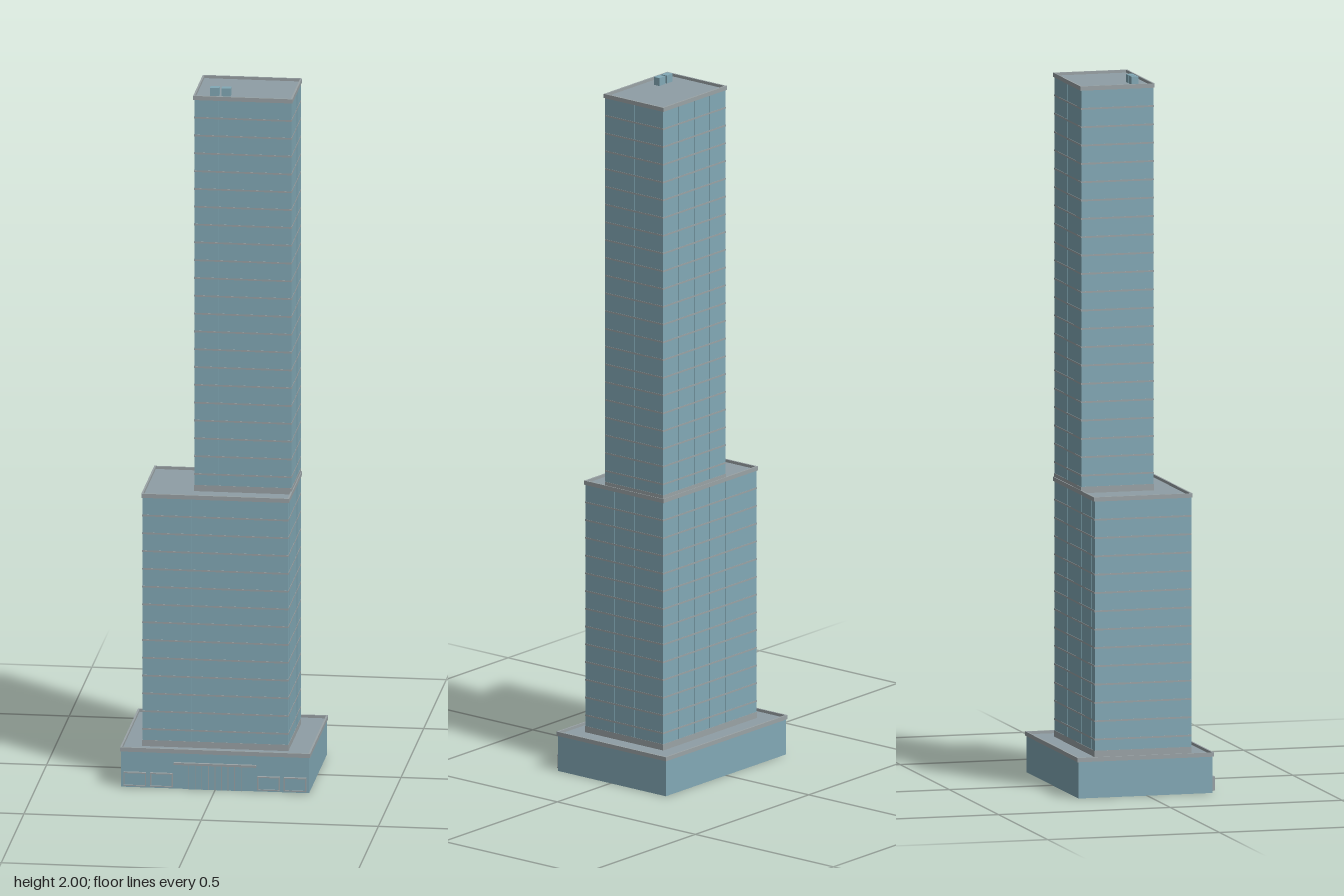
import * as THREE from 'three';

const mat = (color) => {
  const m = new THREE.MeshStandardMaterial();
  m.color.set(color);
  return m;
};

export function createModel() {
  const model = new THREE.Group();
  const glass = mat(0x82a9b6), stone = mat(0x9aa3a6), roofMat = mat(0x8f9ea5);

  // Box given by its limits on each axis
  function box(name, x0, x1, y0, y1, z0, z1, material, parent = model) {
    const mesh = new THREE.Mesh(new THREE.BoxGeometry(x1 - x0, y1 - y0, z1 - z0), material);
    mesh.position.set((x0 + x1) / 2, (y0 + y1) / 2, (z0 + z1) / 2);
    mesh.name = name;
    parent.add(mesh);
    return mesh;
  }

  // Rectangular parapet ring, open in the middle
  function parapet(x0, x1, z0, z1, y0, y1, width, parent) {
    const rect = (T, i) => new T([
      new THREE.Vector2(x0 + i, -z1 + i), new THREE.Vector2(x1 - i, -z1 + i),
      new THREE.Vector2(x1 - i, -z0 - i), new THREE.Vector2(x0 + i, -z0 - i)]);
    const shape = rect(THREE.Shape, 0);
    shape.holes.push(rect(THREE.Path, width));
    const geo = new THREE.ExtrudeGeometry(shape, { depth: y1 - y0, bevelEnabled: false });
    geo.rotateX(-Math.PI / 2).translate(0, y0, 0);
    const mesh = new THREE.Mesh(geo, stone);
    mesh.name = 'parapet';
    parent.add(mesh);
  }

  // Block of the building: walls, recessed roof and parapet
  function block(name, x0, x1, z0, z1, y0, y1) {
    const g = new THREE.Group();
    g.name = name;
    model.add(g);
    const top = y1 - 0.009, o = 0.003;
    box('walls', x0, x1, y0, top, z0, z1, glass, g);
    box('roof', x0 + 0.001, x1 - 0.001, top, top + 0.001, z0 + 0.001, z1 - 0.001, roofMat, g);
    parapet(x0 - o, x1 + o, z0 - o, z1 + o, y1 - 0.012, y1, 0.005, g);
    return g;
  }

  // Floor lines and mullions on a tower block
  function facade(g, x0, x1, z0, z1, y0, y1, floors) {
    const o = 0.0008, step = (y1 - 0.012 - y0) / floors;
    box('plinth', x0 - o, x1 + o, y0, y0 + 0.02, z0 - o, z1 + o, stone, g);
    for (let i = 1; i < floors; i++) {
      const y = y0 + i * step;
      box('floorBand', x0 - o, x1 + o, y - 0.0025, y + 0.0025, z0 - o, z1 + o, stone, g);
    }
    const bays = Math.round((x1 - x0) / 0.034), m = 0.0006;
    for (let i = 1; i < bays; i++) {
      const x = x0 + (x1 - x0) * i / bays;
      box('mullion', x - m, x + m, y0, y1 - 0.012, z0 - m, z1 + m, glass, g);
    }
    const sideBays = Math.round((z1 - z0) / 0.034);
    for (let i = 1; i < sideBays; i++) {
      const z = z0 + (z1 - z0) * i / sideBays;
      box('mullion', x0 - m, x1 + m, y0, y1 - 0.012, z - m, z + m, glass, g);
    }
  }

  block('podium', -0.265, 0.265, -0.2, 0.191, 0, 0.115);
  const lower = [-0.211, 0.2, -0.137, 0.144, 0.105, 0.842];
  const upper = [-0.074, 0.2, -0.137, 0.073, 0.832, 1.985];
  facade(block('lowerTower', ...lower), ...lower, 14);
  facade(block('upperTower', ...upper), ...upper, 22);

  // Shop windows on either side of the entrance
  for (const s of [-1, 1]) {
    for (const c of [0.151, 0.226]) {
      const x = s * c;
      box('shopWindow', x - 0.029, x + 0.029, 0.008, 0.042, 0.19, 0.196, glass);
      for (const e of [-1, 1]) {
        box('windowPost', x + e * 0.03 - 0.0015, x + e * 0.03 + 0.0015, 0.005, 0.045, 0.19, 0.199, stone);
      }
      for (const y of [0.005, 0.042]) {
        box('windowRail', x - 0.031, x + 0.031, y, y + 0.003, 0.19, 0.2, stone);
      }
    }
  }

  // Entrance with canopy and glazing bars
  box('canopy', -0.116, 0.116, 0.071, 0.077, 0.19, 0.2, stone);
  box('entranceGlass', -0.075, 0.075, 0, 0.071, 0.19, 0.194, glass);
  for (let i = 0; i <= 8; i++) {
    const x = -0.074 + i * 0.0185;
    box('entranceBar', x - 0.001, x + 0.001, 0, 0.071, 0.19, 0.196, stone);
  }

  // Rooftop equipment
  for (const x of [-0.021, 0.0115]) {
    box('roofUnit', x - 0.013, x + 0.013, 1.975, 2, 0.021, 0.041, glass);
  }
  return model;
}
